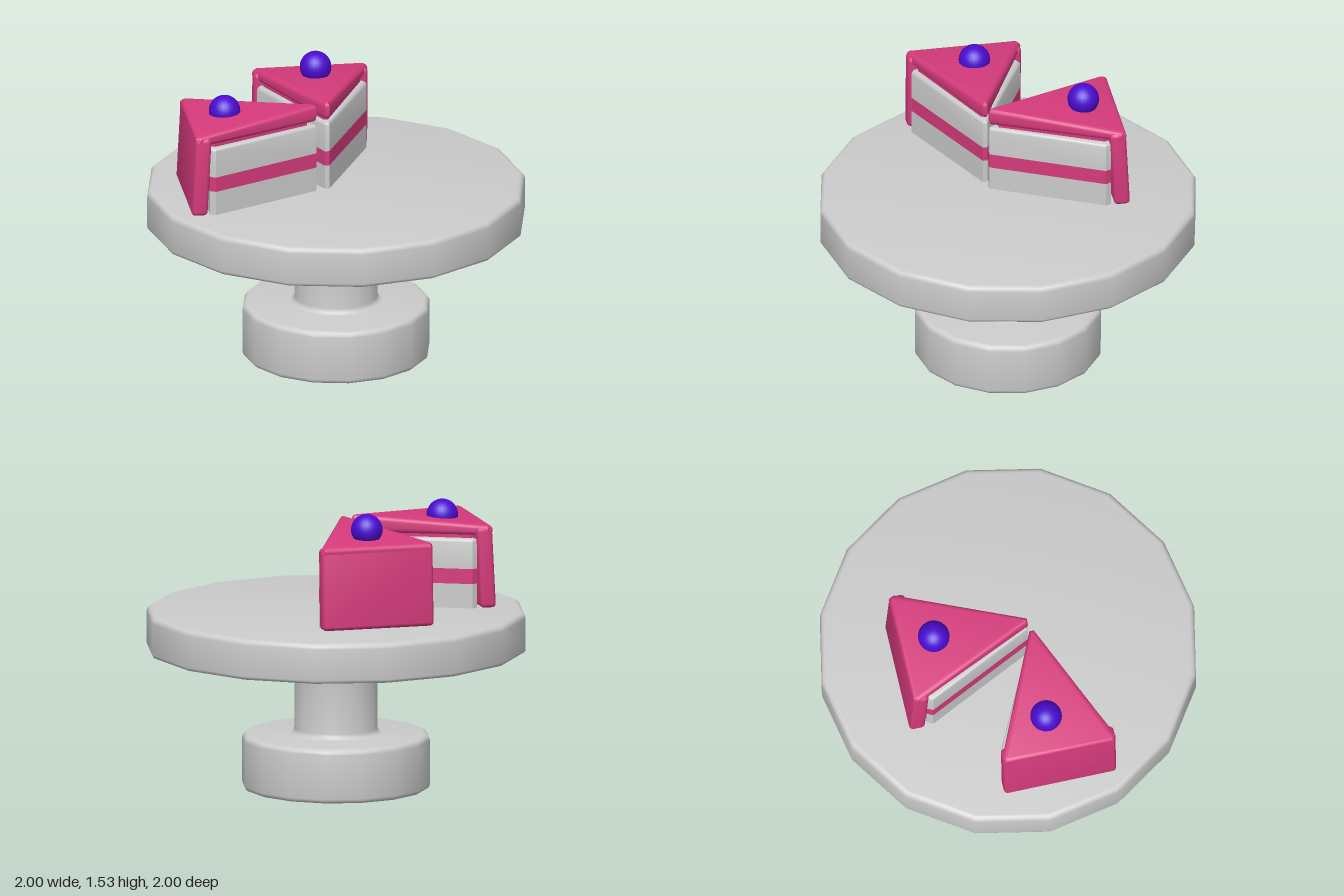
import * as THREE from 'three';
import { toCreasedNormals } from 'three/addons/utils/BufferGeometryUtils.js';
import { RoundedBoxGeometry } from 'three/addons/geometries/RoundedBoxGeometry.js';

const grey = new THREE.MeshStandardMaterial({ color: 0xcccccc });
const pink = new THREE.MeshStandardMaterial({ color: 0xd63b7c });
const purple = new THREE.MeshStandardMaterial({ color: 0x4b0bd0 });

function mesh(name, geometry, material) {
  const m = new THREE.Mesh(geometry, material);
  m.name = name;
  return m;
}

// Quarter-circle profile points around (cx, cy), angles in quarter turns
function arc(cx, cy, r, from, to) {
  return [0, 1, 2, 3, 4].map((i) => {
    const a = (from + (to - from) * i / 4) * Math.PI / 2;
    return new THREE.Vector2(cx + r * Math.cos(a), cy + r * Math.sin(a));
  });
}

// Wedge prism: blunt tip at z = -tip, back edge at z = -back, from y0 to y1
function wedge(tip, back, half, y0, y1, bevel) {
  const s = new THREE.Shape();
  s.moveTo(-0.012, tip);
  s.lineTo(0.012, tip);
  s.lineTo(half, back - 0.03);
  s.lineTo(half - 0.015, back);
  s.lineTo(-half + 0.015, back);
  s.lineTo(-half, back - 0.03);
  s.closePath();
  const g = new THREE.ExtrudeGeometry(s, {
    depth: y1 - y0 - 2 * bevel,
    bevelEnabled: bevel > 0,
    bevelThickness: bevel,
    bevelSize: bevel,
    bevelOffset: -bevel,
    bevelSegments: 3,
  });
  g.rotateX(-Math.PI / 2);
  g.translate(0, y0 + bevel, 0);
  return g;
}

// Move vertices by a rule
function warp(g, rule) {
  const p = g.attributes.position;
  const v = new THREE.Vector3();
  for (let i = 0; i < p.count; i++) {
    rule(v.fromBufferAttribute(p, i));
    p.setXYZ(i, v.x, v.y, v.z);
  }
  return g;
}

function createSlice(name, berryX, berryY, berryZ) {
  const slice = new THREE.Group();
  slice.name = name;

  // Sponge layers with a filling stripe between them
  slice.add(mesh('lowerSponge', wedge(0.0, 0.6, 0.29, 0.95, 1.08, 0), grey));
  slice.add(mesh('filling', wedge(0.0, 0.6, 0.29, 1.08, 1.16, 0), pink));
  const top = wedge(0.0, 0.6, 0.29, 1.14, 1.32, 0.018);
  warp(top, (v) => { if (v.y < 1.16) v.y = 1.16; });
  slice.add(mesh('upperSponge', toCreasedNormals(top, 0.7), grey));
  slice.add(mesh('icingUnderside', wedge(0.05, 0.6, 0.255, 1.3, 1.36, 0), pink));

  // Icing slab, thicker towards the tip
  const slab = warp(wedge(0, 0.68, 0.305, 1.335, 1.39, 0.025), (v) => {
    if (v.y > 1.362) v.y += 0.042 * (1 + v.z / 0.68);
  });
  slice.add(mesh('icingTop', toCreasedNormals(slab, 0.7), pink));

  // Icing wall at the back, leaning outwards at its foot
  const wall = new RoundedBoxGeometry(0.605, 0.43, 0.085, 3, 0.022);
  wall.translate(0, 1.165, -0.64);
  warp(wall, (v) => { v.z -= 0.022 * (1.38 - v.y) / 0.43 - 0.005; });
  slice.add(mesh('icingBack', toCreasedNormals(wall, 0.7), pink));

  // Berry half sunk in the icing
  const berry = mesh('berry', new THREE.SphereGeometry(0.083, 24, 16), purple);
  berry.position.set(berryX, berryY, berryZ);
  slice.add(berry);
  return slice;
}

export function createModel() {
  const model = new THREE.Group();
  model.name = 'cakeStandWithSlices';

  // Sixteen-sided stand: foot, filleted stem and plate in one profile
  const profile = [
    new THREE.Vector2(0, 0),
    ...arc(0.47, 0.025, 0.025, -1, 0),
    ...arc(0.465, 0.26, 0.03, 0, 1),
    ...arc(0.25, 0.32, 0.03, 3, 2),
    ...arc(0.25, 0.705, 0.03, 2, 1),
    ...arc(0.98, 0.755, 0.02, -1, 0),
    ...arc(0.97, 0.92, 0.03, 0, 1),
    new THREE.Vector2(0, 0.95),
  ];
  const stand = new THREE.LatheGeometry(profile, 16);
  model.add(mesh('cakeStand', toCreasedNormals(stand, 0.6), grey));

  // Two slices, a quarter turn apart
  const backSlice = createSlice('backSlice', 0.01, 1.445, -0.5);
  backSlice.position.set(-0.06, 0, 0.09);
  model.add(backSlice);

  const sideSlice = createSlice('sideSlice', 0.03, 1.41, -0.48);
  sideSlice.position.set(-0.12, 0, 0.1);
  sideSlice.rotation.y = Math.PI / 2;
  model.add(sideSlice);

  return model;
}
